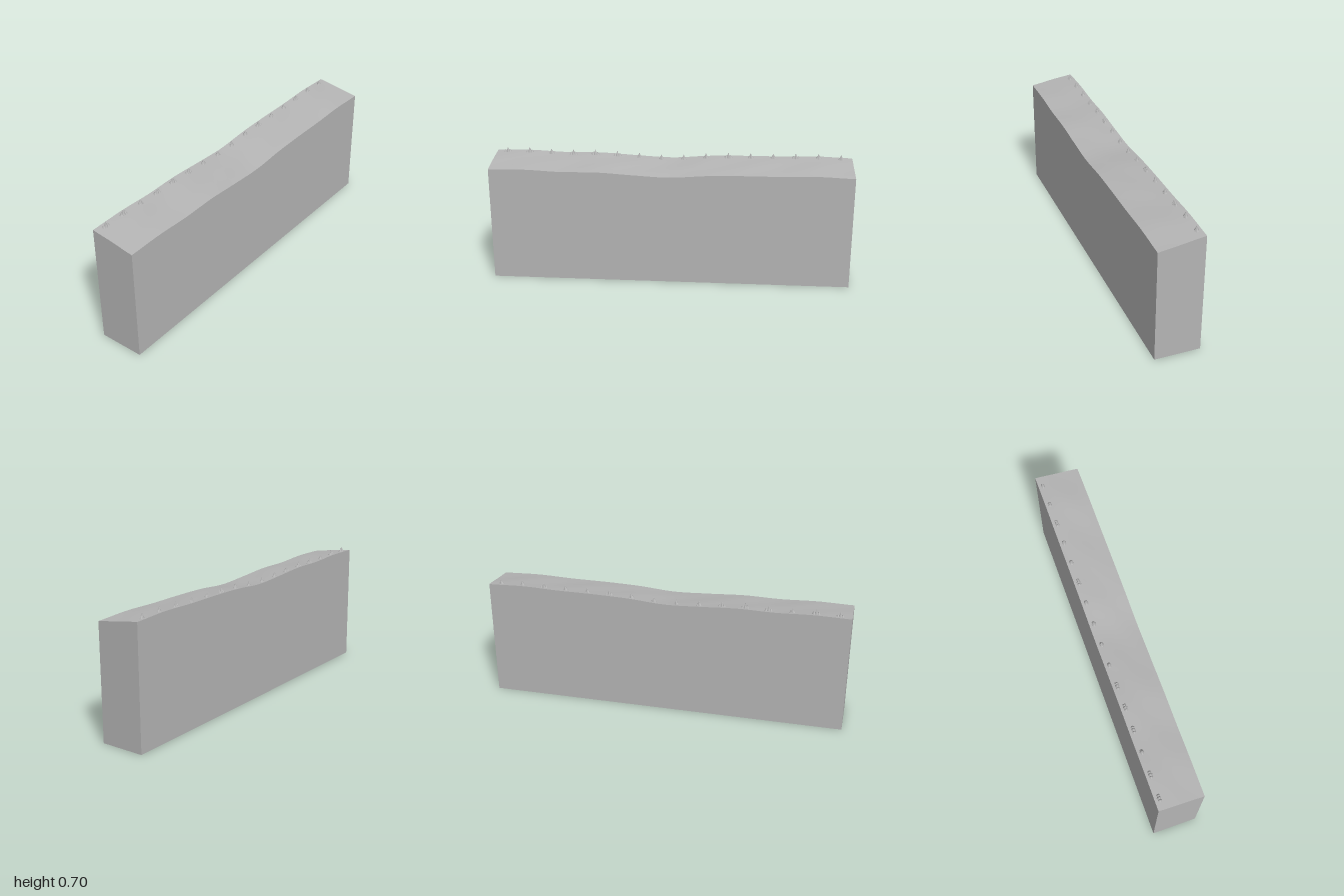
import * as THREE from 'three';

const DEPTH = 0.25;

// Height of the front top edge, sampled every 0.2 along x
const ridge = new THREE.SplineCurve(
  [0.64, 0.643, 0.635, 0.637, 0.626, 0.618, 0.632, 0.637, 0.638, 0.643, 0.636]
    .map((y, i) => new THREE.Vector2(-1 + i * 0.2, y)));

// The top climbs towards the back, with a slight bulge and faint ripples
function groundHeight(x, z) {
  const t = 0.5 - z / DEPTH;
  const bulge = Math.sin(Math.PI * t);
  return ridge.getPoint((x + 1) / 2).y + 0.037 * t
    + bulge * (0.001 + 0.0012 * Math.sin(17 * x + 25 * z));
}

export function createModel() {
  const model = new THREE.Group();
  const stone = new THREE.MeshStandardMaterial({ color: 0xb4b4b4 });
  stone.name = 'grey stone';

  // Block with a flat base and an undulating sloped top
  const blockGeometry = new THREE.BoxGeometry(2, 1, DEPTH, 64, 1, 8);
  const p = blockGeometry.attributes.position;
  for (let i = 0; i < p.count; i++) {
    p.setY(i, p.getY(i) > 0 ? groundHeight(p.getX(i), p.getZ(i)) : 0);
  }
  blockGeometry.computeVertexNormals();
  const block = new THREE.Mesh(blockGeometry, stone);
  block.name = 'block';
  model.add(block);

  // Row of small pointed tufts near the back edge, some wider than others
  const spike = new THREE.ConeGeometry(1, 1, 6).toNonIndexed();
  spike.computeVertexNormals();
  spike.translate(0, 0.5, 0);
  const wide = [0, 1, 3, 4, 5, 10, 13];
  for (let i = 0; i < 16; i++) {
    const x = -0.9375 + i * 0.125, z = -0.1;
    const spread = wide.includes(i) ? 0.013 : 0.006;
    const tuft = new THREE.Group();
    tuft.name = 'tuft' + (i + 1);
    tuft.position.set(x, groundHeight(x, z) - 0.004, z);
    for (const side of [-1, 0, 1]) {
      const cone = new THREE.Mesh(spike, stone);
      cone.name = side ? 'sideSpike' : 'mainSpike';
      cone.position.x = side * spread;
      cone.scale.set(0.013, side ? 0.019 : 0.032, 0.014);
      tuft.add(cone);
    }
    model.add(tuft);
  }
  return model;
}
